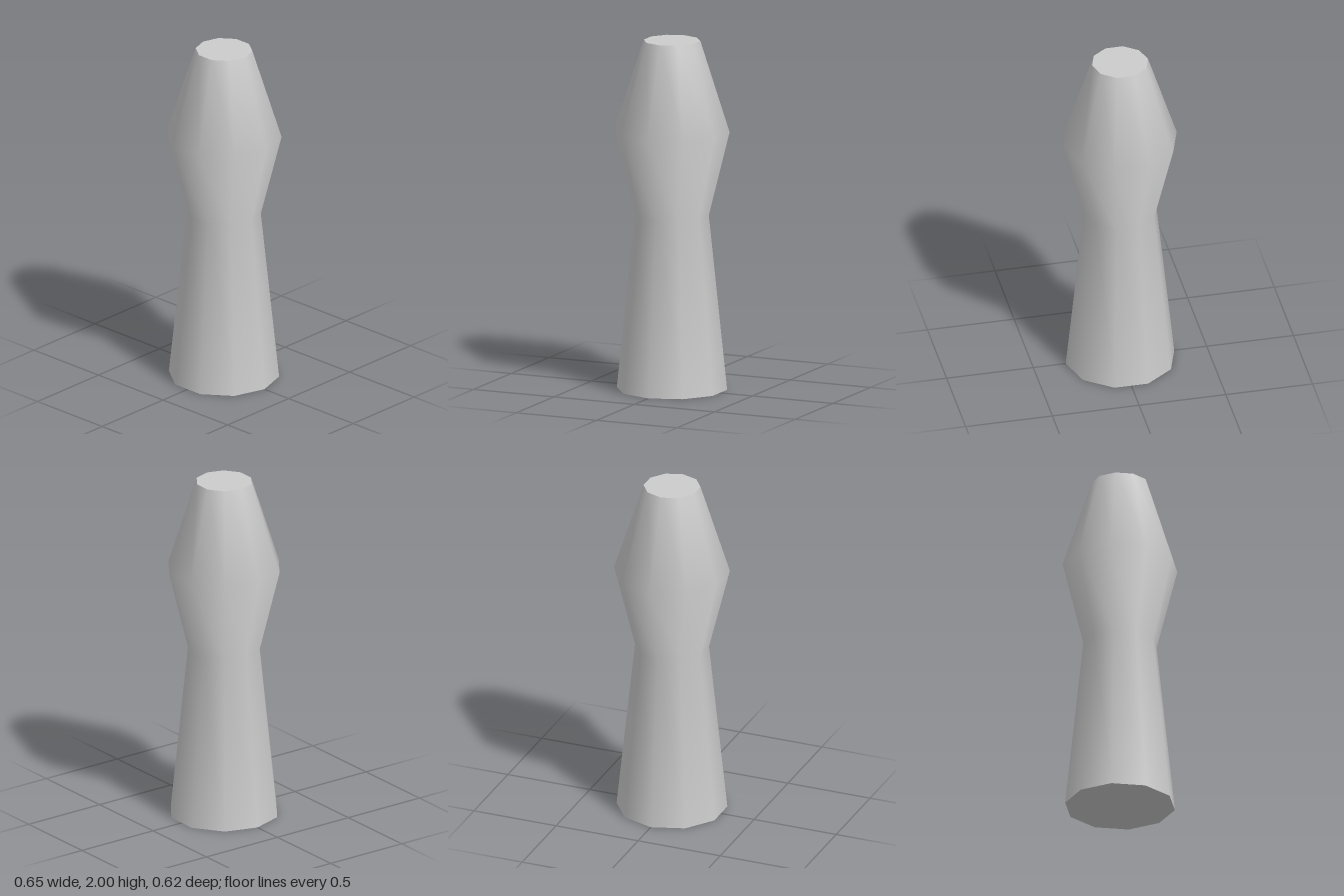
import * as THREE from 'three';

const SIDES = 10;

export function createModel() {
  const group = new THREE.Group();
  const material = new THREE.MeshStandardMaterial({ color: 0xcccccc });

  // [radius, height] from the foot, through the waist and bulge, to the top
  const profile = [[0.313, 0], [0.209, 1], [0.327, 1.48], [0.161, 2]]
    .map(([r, y]) => new THREE.Vector2(r, y));

  // Smooth ten-sided body with corners on the x axis
  const body = new THREE.Mesh(new THREE.LatheGeometry(profile, SIDES, Math.PI / 2), material);
  body.name = 'body';
  group.add(body);

  // Flat end caps
  const addCap = (name, point, tilt) => {
    const cap = new THREE.Mesh(new THREE.CircleGeometry(point.x, SIDES), material);
    cap.name = name;
    cap.rotation.x = tilt;
    cap.position.y = point.y;
    group.add(cap);
  };
  addCap('bottomCap', profile[0], Math.PI / 2);
  addCap('topCap', profile[profile.length - 1], -Math.PI / 2);

  return group;
}
